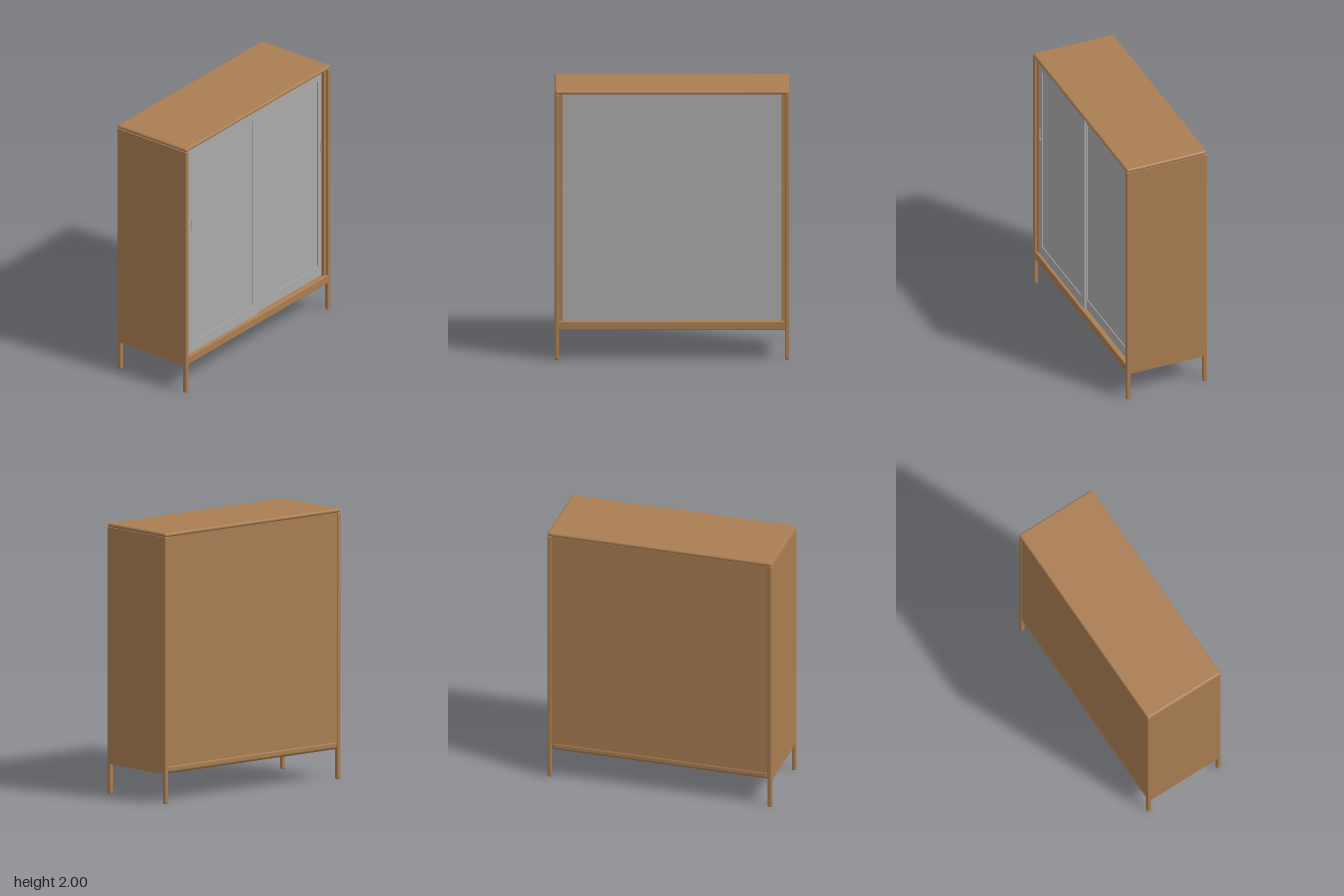
import * as THREE from 'three';
import { RoundedBoxGeometry } from 'three/addons/geometries/RoundedBoxGeometry.js';

const wood = new THREE.MeshStandardMaterial({ color: 0xa97d52 });
wood.name = 'wood';
const grey = new THREE.MeshStandardMaterial({ color: 0xaaaaaa });
grey.name = 'greyPaint';

// Overall half width, half depth and the thickness of posts and top
const W = 0.855, D = 0.32, T = 0.032, TOP = 1.97, BASE = 0.22;

function add(parent, name, geometry, material, x = 0, y = 0, z = 0) {
  const mesh = new THREE.Mesh(geometry, material);
  mesh.name = name;
  mesh.position.set(x, y, z);
  parent.add(mesh);
  return mesh;
}

// Box given by its limits, with optional rounded edges
function block(parent, name, material, [x0, x1], [y0, y1], [z0, z1], radius = 0) {
  const s = [x1 - x0, y1 - y0, z1 - z0];
  const g = radius ? new RoundedBoxGeometry(...s, 4, radius) : new THREE.BoxGeometry(...s);
  return add(parent, name, g, material, (x0 + x1) / 2, (y0 + y1) / 2, (z0 + z1) / 2);
}

function roundedRect(path, x0, x1, y0, y1, r) {
  path.moveTo(x0 + r, y0);
  path.lineTo(x1 - r, y0);
  path.absarc(x1 - r, y0 + r, r, -Math.PI / 2, 0);
  path.lineTo(x1, y1 - r);
  path.absarc(x1 - r, y1 - r, r, 0, Math.PI / 2);
  path.lineTo(x0 + r, y1);
  path.absarc(x0 + r, y1 - r, r, Math.PI / 2, Math.PI);
  path.lineTo(x0, y0 + r);
  path.absarc(x0 + r, y0 + r, r, Math.PI, Math.PI * 1.5);
  return path;
}

// Sliding door: frame with a shallow inset panel and a recessed finger pull
function slidingDoor(name, x0, x1, pullX, frontZ) {
  const door = new THREE.Group();
  door.name = name;
  const y0 = 0.287, y1 = 1.967, depth = 0.006;
  const shape = new THREE.Shape([[x0, y0], [x1, y0], [x1, y1], [x0, y1]].map(p => new THREE.Vector2(...p)));
  shape.holes.push(
    roundedRect(new THREE.Path(), x0 + 0.055, x1 - 0.055, 0.37, 1.895, 0.01),
    roundedRect(new THREE.Path(), pullX - 0.015, pullX + 0.015, 1.28, 1.38, 0.0149));
  const frame = new THREE.ExtrudeGeometry(shape, { depth, bevelEnabled: false, curveSegments: 6 });
  add(door, 'doorFrame', frame, grey, 0, 0, frontZ - depth);
  block(door, 'doorPanel', grey, [x0, x1], [y0, y1], [frontZ - 0.016, frontZ - depth]);
  return door;
}

export function createModel() {
  const cabinet = new THREE.Group();
  cabinet.name = 'cabinet';

  // Top with softened edges
  block(cabinet, 'top', wood, [-W, W], [TOP, 2], [-D, D], 0.0145);

  // Corner posts that run down into legs, side panels and door jambs
  for (const s of [-1, 1]) {
    const span = (a, b) => [Math.min(s * a, s * b), Math.max(s * a, s * b)];
    for (const z of [-1, 1]) {
      const zs = [z * D, z * (D - T)].sort((a, b) => a - b);
      block(cabinet, 'cornerLeg', wood, span(W - T, W), [0, TOP + 0.004], zs, 0.009);
    }
    block(cabinet, 'sidePanel', wood, span(W - 0.025, W), [BASE, TOP], [-D + 0.009, D - 0.009]);
    block(cabinet, 'doorJamb', wood, span(0.8, W - 0.02), [0.28, TOP], [0.24, 0.3]);
    block(cabinet, 'sideRail', wood, span(W - 0.05, W - 0.01), [BASE, 0.28], [-D + 0.03, D - 0.03]);
  }

  // Front and back rails, back panel and floor
  block(cabinet, 'frontRail', wood, [-W + 0.025, W - 0.025], [BASE, 0.287], [D - 0.045, D - 0.004], 0.008);
  block(cabinet, 'backRail', wood, [-W + 0.025, W - 0.025], [BASE, 0.287], [-D + 0.004, -D + 0.06], 0.026);
  block(cabinet, 'backPanel', wood, [-W + 0.02, W - 0.02], [0.255, TOP], [-D + 0.008, -D + 0.022]);
  block(cabinet, 'floor', wood, [-W + 0.02, W - 0.02], [0.255, 0.28], [-D + 0.015, D - 0.02]);

  // Cable ring under the floor
  const ring = new THREE.LatheGeometry(
    [[0.026, 0.02], [0.026, 0], [0.036, 0], [0.04, 0.006], [0.04, 0.02]].map(p => new THREE.Vector2(...p)), 24);
  const ringMaterial = grey;
  add(cabinet, 'cableRing', ring, ringMaterial, 0, 0.24, -0.23);
  add(cabinet, 'cableCap', new THREE.CylinderGeometry(0.027, 0.027, 0.008, 24), grey, 0, 0.25, -0.23);

  // Overlapping doors, the -x one in front
  cabinet.add(slidingDoor('frontDoor', -0.8, 0.025, -0.775, 0.294));
  cabinet.add(slidingDoor('rearDoor', -0.02, 0.81, 0.78, 0.277));

  return cabinet;
}
